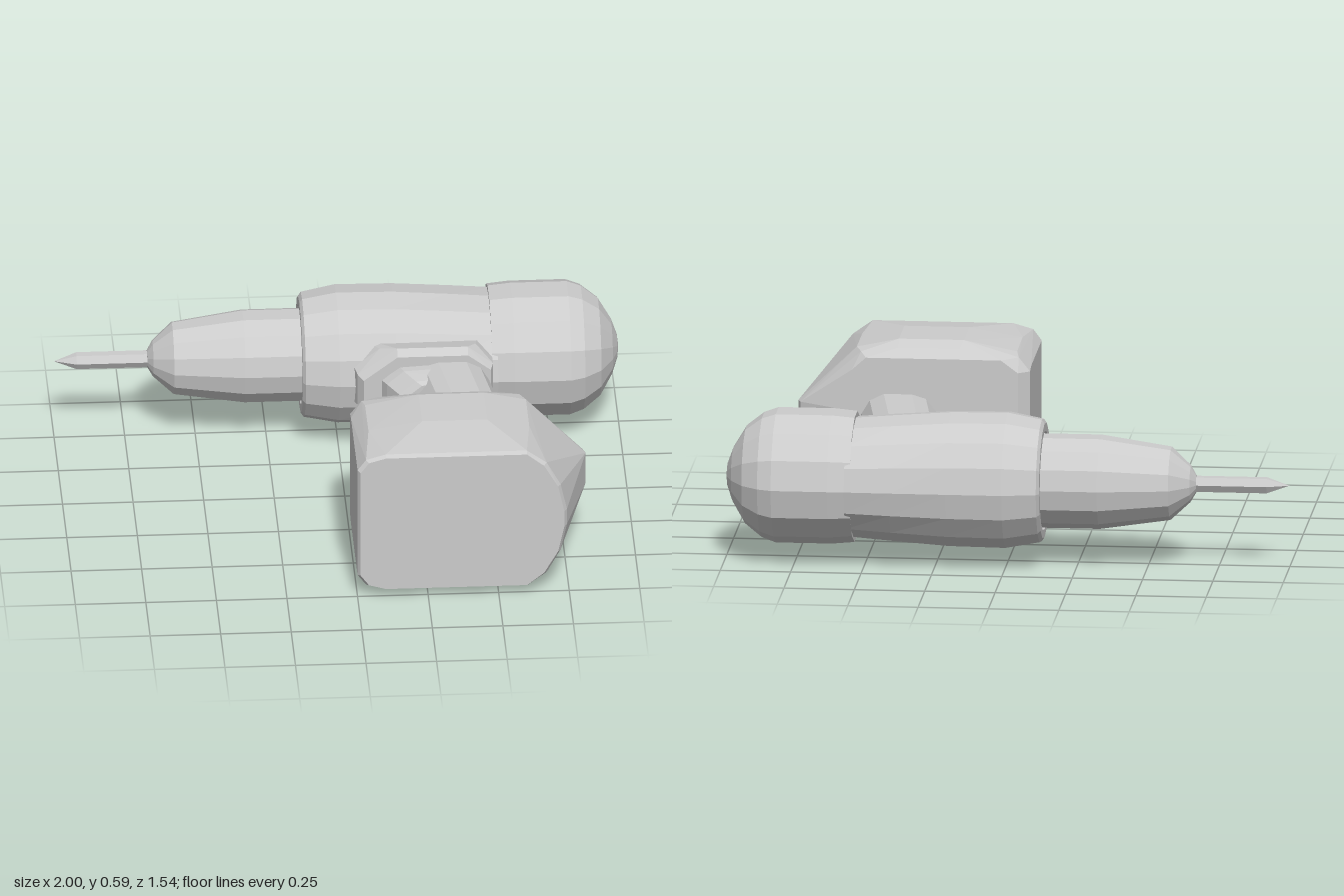
import * as THREE from 'three';
import { ConvexGeometry } from 'three/addons/geometries/ConvexGeometry.js';

const AXIS_Y = 0.3, AXIS_Z = -0.515;

export function createModel() {
  const group = new THREE.Group();
  const material = new THREE.MeshStandardMaterial({ color: 0xcccccc, flatShading: true });

  function add(name, geometry) {
    const mesh = new THREE.Mesh(geometry, material);
    mesh.name = name;
    group.add(mesh);
    return mesh;
  }

  // Turned part along x; profile is [x, radius], squash(x) scales its height
  function turned(name, profile, sides, squash = () => 1) {
    const g = new THREE.LatheGeometry(profile.map(([x, r]) => new THREE.Vector2(r, x)), sides);
    g.rotateZ(-Math.PI / 2);
    const p = g.attributes.position;
    for (let i = 0; i < p.count; i++) p.setY(i, p.getY(i) * squash(p.getX(i)));
    g.computeVertexNormals();
    add(name, g).position.set(0, AXIS_Y, AXIS_Z);
  }

  // Convex part from rings [z, [[x, half height], ...]], mirrored about mid height
  function hull(name, rings) {
    const points = [];
    for (const [z, outline] of rings) {
      for (const [x, h] of outline) {
        points.push(new THREE.Vector3(x, AXIS_Y + h, z), new THREE.Vector3(x, AXIS_Y - h, z));
      }
    }
    add(name, new ConvexGeometry(points));
  }

  // Drill bit and chuck
  turned('bit', [[-1, 0], [-0.92, 0.03], [-0.64, 0.03]], 6);
  turned('chuck', [
    [-0.67, 0], [-0.67, 0.03], [-0.65, 0.065], [-0.58, 0.13],
    [-0.33, 0.167], [-0.1, 0.167], [-0.1, 0],
  ], 14);

  // Motor housing, flattening in height towards the rear seam
  turned('motorHousing', [
    [-0.11, 0], [-0.11, 0.175], [-0.13, 0.185], [-0.13, 0.215], [-0.12, 0.23], [0, 0.254],
    [0.2, 0.255], [0.4, 0.255], [0.56, 0.253], [0.56, 0],
  ], 16, x => (x < 0.15 ? 0.96 : 0.96 - 0.3 * (x - 0.15)));

  // Rounded rear cap
  turned('rearCap', [
    [0.54, 0], [0.54, 0.246], [0.62, 0.254], [0.82, 0.254], [0.87, 0.235],
    [0.93, 0.185], [0.975, 0.105], [0.995, 0.045], [1, 0],
  ], 14, () => 0.94);

  // Collar joining the handle to the housing
  hull('collar', [
    [-0.4, [[0.08, 0.12], [0.5, 0.12]]],
    [-0.28, [[0.05, 0.07], [0.14, 0.14], [0.48, 0.15], [0.54, 0.09]]],
    [-0.24, [[0.06, 0.06], [0.2, 0.16], [0.45, 0.16], [0.54, 0.09]]],
    [-0.21, [[0.08, 0.05], [0.2, 0.14], [0.45, 0.14], [0.53, 0.08]]],
  ]);

  // Trigger
  hull('trigger', [
    [-0.24, [[0.13, 0.05], [0.2, 0.1], [0.4, 0.11]]],
    [-0.18, [[0.16, 0.05], [0.22, 0.1], [0.4, 0.11]]],
    [-0.12, [[0.2, 0.04], [0.26, 0.09], [0.4, 0.1]]],
    [-0.105, [[0.22, 0.03], [0.28, 0.08], [0.4, 0.09]]],
  ]);

  // Slanted grip with chamfered edges
  const grip = shift => [
    [0.27, 0.05], [0.31, 0.1], [0.36, 0.115], [0.46, 0.115], [0.51, 0.09], [0.54, 0.04],
  ].map(([x, h]) => [x + shift, h]);
  hull('handle', [[-0.27, grip(-0.025)], [0.3, grip(0.06)]]);

  // Battery pack with a pointed rear end
  hull('battery', [
    [0.275, [[0.04, 0.2], [0.1, 0.245], [0.58, 0.245], [0.63, 0.2], [0.69, 0.06]]],
    [0.31, [[0, 0.2], [0.04, 0.25], [0.25, 0.275], [0.47, 0.275], [0.6, 0.26]]],
    [0.36, [[0, 0.21], [0.05, 0.26], [0.24, 0.297], [0.47, 0.297], [0.62, 0.265], [0.82, 0.06]]],
    [0.39, [[0.83, 0.06]]],
    [0.56, [[0, 0.21], [0.05, 0.265], [0.24, 0.297], [0.47, 0.297], [0.62, 0.265]]],
    [0.75, [[0, 0.21], [0.03, 0.25], [0.1, 0.27], [0.6, 0.27], [0.67, 0.22], [0.72, 0.13], [0.742, 0.03]]],
    [0.766, [[0.01, 0.205], [0.04, 0.245], [0.1, 0.262], [0.6, 0.262], [0.66, 0.215], [0.71, 0.13], [0.732, 0.03]]],
  ]);

  return group;
}
